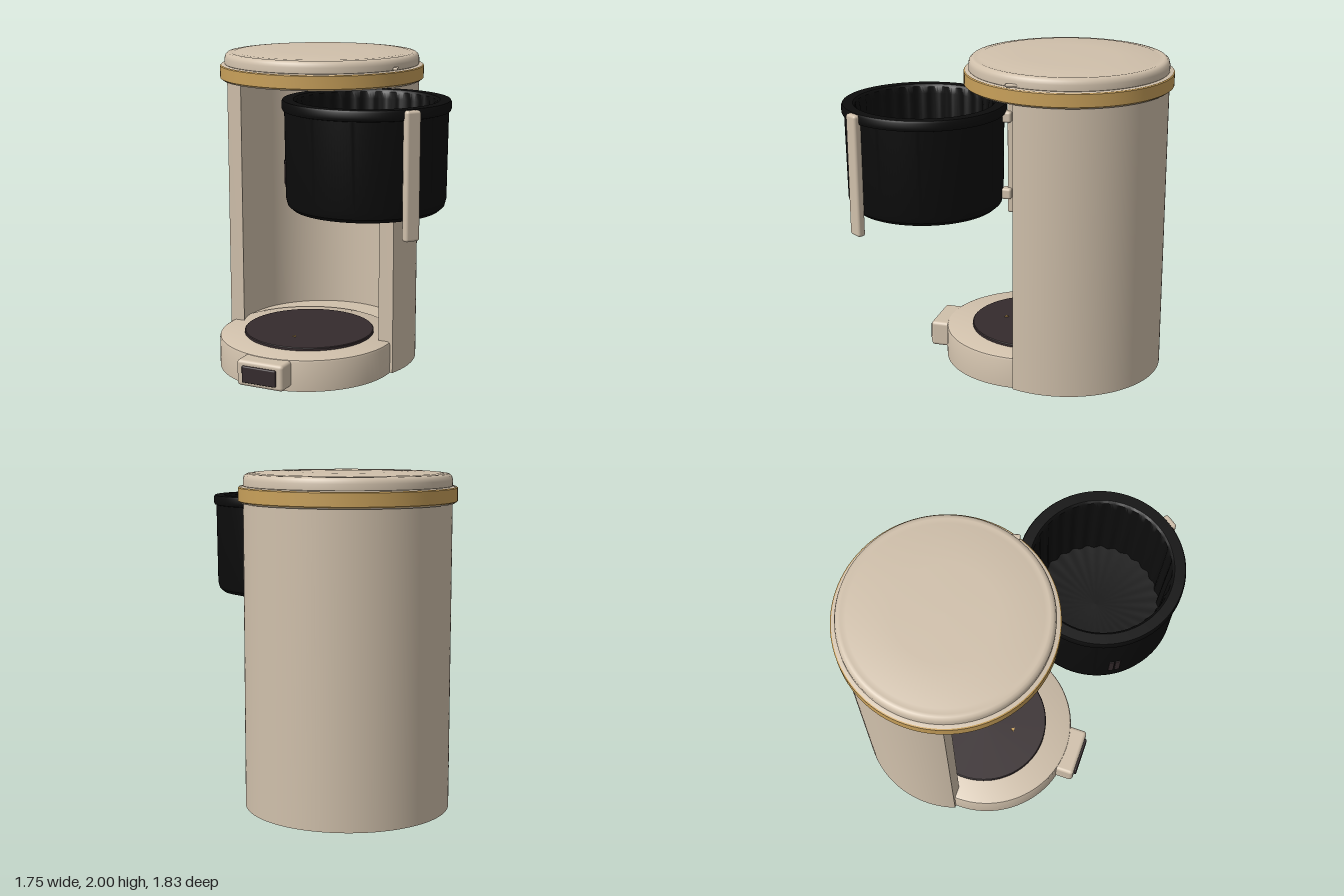
import * as THREE from 'three';
import { toCreasedNormals } from 'three/addons/utils/BufferGeometryUtils.js';
import { RoundedBoxGeometry } from 'three/addons/geometries/RoundedBoxGeometry.js';

const mat = (name, color, side = THREE.FrontSide) => {
  const m = new THREE.MeshStandardMaterial({ color, side });
  m.name = name;
  return m;
};

export function createModel() {
  const group = new THREE.Group();
  const beige = mat('warm beige', 0xd0c0ab);
  const gold = mat('brass', 0xc8a05a, THREE.DoubleSide);
  const black = mat('black', 0x0c0c0c);
  const brown = mat('dark brown', 0x352b2d);

  const add = (name, geometry, material, x, y, z, turn = 0) => {
    const mesh = new THREE.Mesh(geometry, material);
    mesh.name = name;
    mesh.position.set(x, y, z);
    mesh.rotation.y = turn;
    group.add(mesh);
    return mesh;
  };
  const lathe = (points, segments = 96) =>
    new THREE.LatheGeometry(points.map(([r, y]) => new THREE.Vector2(r, y)), segments);
  const turned = (points) => toCreasedNormals(lathe(points), 0.6);
  const box = (w, h, d, r) => new RoundedBoxGeometry(w, h, d, 3, r);

  const cx = -0.238, cz = -0.28;   // axis of the housing

  // Housing: a C-shaped wall, open towards the front
  const cut = 0.19, outer = 0.612, inner = 0.52;
  const a = Math.asin(cut / outer), b = Math.asin(cut / inner);
  const wall = new THREE.Shape();
  wall.absarc(0, 0, outer, -a, Math.PI + a, false);
  wall.absarc(0, 0, inner, Math.PI + b, -b, true);
  wall.closePath();
  const wallGeometry = new THREE.ExtrudeGeometry(wall, { depth: 1.82, bevelEnabled: false, curveSegments: 72 });
  wallGeometry.rotateX(-Math.PI / 2);
  add('housingWall', toCreasedNormals(wallGeometry, 0.5), beige, cx, 0, cz);
  add('housingFloor', new THREE.CylinderGeometry(0.525, 0.525, 0.196, 72), beige, cx, 0.098, cz);

  // Base with hotplate and brass marker
  add('base', turned([[0, 0], [0.565, 0], [0.565, 0.185], [0.56, 0.197], [0.548, 0.203], [0, 0.203]]),
    beige, cx, 0, -0.065);
  add('hotplate', turned([[0, 0.2], [0.415, 0.2], [0.415, 0.218], [0.41, 0.222], [0, 0.222]]),
    brown, cx, 0, -0.085);
  add('hotplateMarker', new THREE.CylinderGeometry(0.016, 0.016, 0.006, 3), gold, cx, 0.224, 0.12, Math.PI);

  // Power switch on the front of the base
  add('switchHousing', box(0.315, 0.165, 0.16, 0.022), beige, cx, 0.112, 0.512);
  add('switchButton', box(0.23, 0.105, 0.03, 0.008), brown, cx, 0.11, 0.592);

  // Head: underside, brass band and domed lid
  add('headUnderside', turned([[0, 1.815], [0.625, 1.815], [0.636, 1.83], [0.636, 1.907], [0.6, 1.915], [0, 1.915]]),
    beige, cx, 0, cz);
  add('brassBand', turned([[0.634, 1.822], [0.641, 1.828], [0.641, 1.904], [0.634, 1.91]]), gold, cx, 0, cz);
  add('lid', turned([[0.6, 1.9], [0.612, 1.915], [0.612, 1.95], [0.606, 1.972], [0.592, 1.984],
    [0.575, 1.987], [0.565, 1.985], [0.545, 1.99], [0.3, 1.996], [0, 2]]), beige, cx, 0, cz);
  add('lidTab', box(0.03, 0.018, 0.085, 0.008), beige, cx + 0.585, 1.926, cz + 0.19, 0.31);

  // Hinge joining the basket to the housing
  add('hingePlate', box(0.06, 0.67, 0.05, 0.012), beige, 0.29, 1.483, -0.077);
  for (const y of [1.735, 1.27]) {
    add('hingeKnuckle', box(0.07, 0.065, 0.06, 0.014), beige, 0.32, y, -0.052);
  }

  // Filter basket: one turned shell whose inner wall is fluted
  const bx = 0.39, bz = 0.43;
  const basket = lathe([[0, 1.18], [0.39, 1.18], [0.425, 1.188], [0.45, 1.21], [0.46, 1.25],
    [0.466, 1.75], [0.476, 1.753], [0.481, 1.765], [0.481, 1.8], [0.475, 1.812], [0.415, 1.812],
    [0.402, 1.8], [0.395, 1.76], [0.375, 1.26], [0, 1.24]], 168);
  const p = basket.attributes.position;
  for (let i = 0; i < p.count; i++) {
    const x = p.getX(i), z = p.getZ(i), r = Math.hypot(x, z);
    if (r > 0.3 && r < 0.4 && p.getY(i) > 1.22) {
      const s = 1 + 0.02 * Math.cos(28 * Math.atan2(z, x));
      p.setX(i, x * s);
      p.setZ(i, z * s);
    }
  }
  add('filterBasket', toCreasedNormals(basket, 0.6), black, bx, 0, bz);
  add('dripValve', turned([[0, 1.135], [0.058, 1.135], [0.067, 1.144], [0.067, 1.185], [0, 1.185]]),
    brown, bx, 0, bz);

  // Basket handle, set radially
  const out = 0.62;
  add('basketHandle', box(0.05, 0.72, 0.092, 0.016), beige,
    bx + 0.484 * Math.cos(out), 1.448, bz + 0.484 * Math.sin(out), -out);

  // Two small slots on the side of the basket
  for (const t of [2.57, 2.65]) {
    add('basketSlot', box(0.012, 0.135, 0.03, 0.005), brown,
      bx + 0.462 * Math.cos(t), 1.398, bz + 0.462 * Math.sin(t), -t);
  }
  return group;
}
